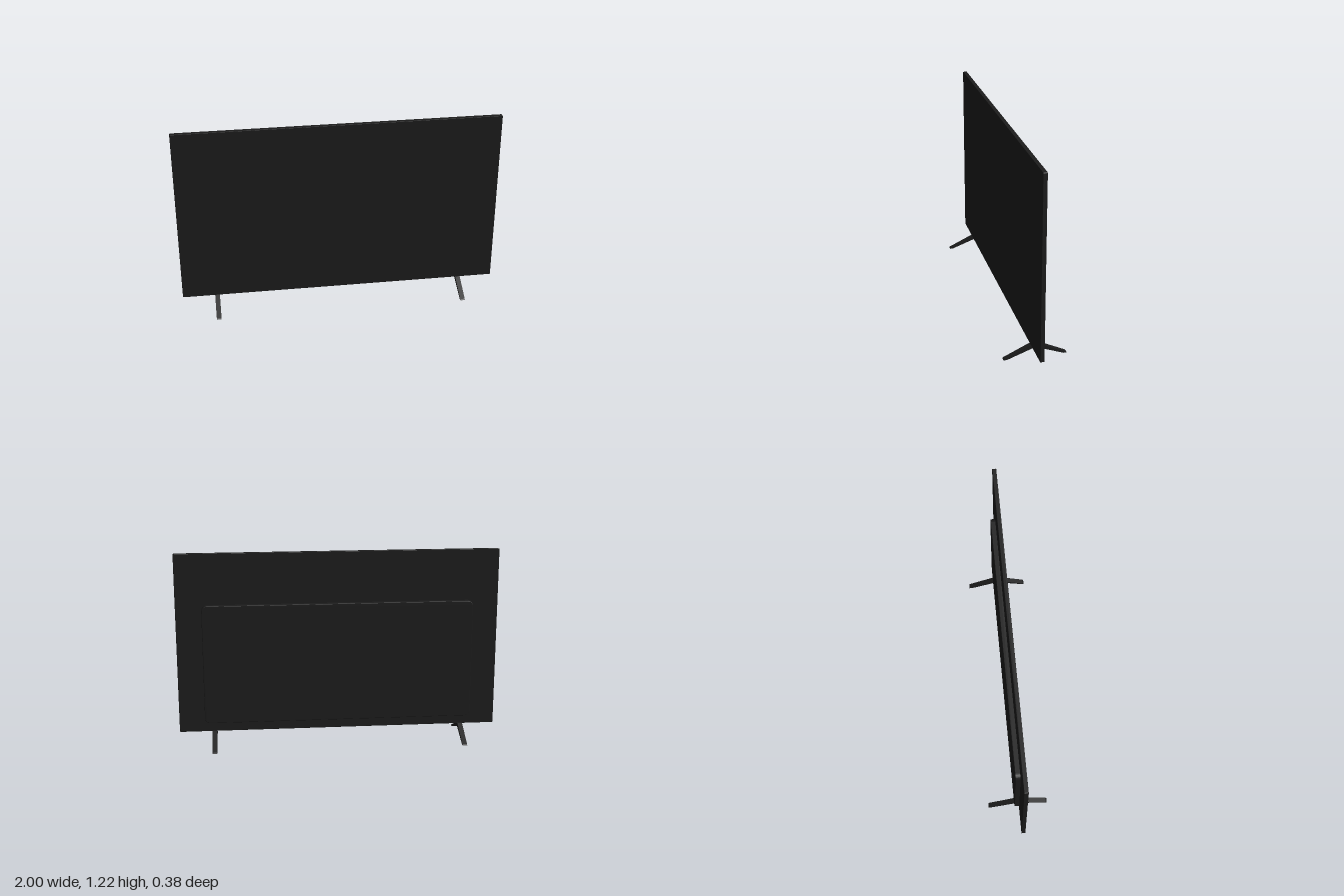
import * as THREE from 'three';

// Rounded rectangle centred on the origin
function roundedRect(w, h, r) {
  const s = new THREE.Shape();
  const x = w / 2, y = h / 2;
  s.moveTo(-x + r, -y);
  s.lineTo(x - r, -y);
  s.absarc(x - r, -y + r, r, -Math.PI / 2, 0);
  s.lineTo(x, y - r);
  s.absarc(x - r, y - r, r, 0, Math.PI / 2);
  s.lineTo(-x + r, y);
  s.absarc(-x + r, y - r, r, Math.PI / 2, Math.PI);
  s.lineTo(-x, -y + r);
  s.absarc(-x + r, -y + r, r, Math.PI, Math.PI * 1.5);
  return s;
}

// Thin slab with softened edges, spanning y0..y1 and z0..z1
function slab(name, material, w, y0, y1, z0, z1, r, bevel) {
  const geo = new THREE.ExtrudeGeometry(roundedRect(w - 2 * bevel, y1 - y0 - 2 * bevel, r), {
    depth: z1 - z0 - 2 * bevel, bevelEnabled: true, bevelThickness: bevel,
    bevelSize: bevel, bevelSegments: 2, curveSegments: 6,
  });
  const mesh = new THREE.Mesh(geo, material);
  mesh.name = name;
  mesh.position.set(0, (y0 + y1) / 2, z0 + bevel);
  return mesh;
}

export function createModel() {
  const group = new THREE.Group();
  group.name = 'television';
  const black = new THREE.MeshStandardMaterial({ color: 0x1c1c1c });
  black.name = 'matte black';

  // Display panel and raised rear housing
  group.add(slab('displayPanel', black, 2, 0.08, 1.215, 0.004, 0.029, 0.004, 0.002));
  group.add(slab('rearHousing', black, 1.68, 0.142, 0.895, -0.026, 0.008, 0.03, 0.003));

  // Splayed feet: inverted V in side profile, tapering to flat tips
  const profile = new THREE.Shape([
    [0.19, 0], [0.17, 0], [0, 0.063], [-0.17, 0], [-0.19, 0],
    [-0.182, 0.006], [-0.012, 0.086], [0.012, 0.086], [0.182, 0.006],
  ].reverse().map(([z, y]) => new THREE.Vector2(z, y)));
  const width = 0.03;
  const footGeo = new THREE.ExtrudeGeometry(profile, { depth: width, bevelEnabled: false });
  footGeo.translate(0, 0, -width / 2);
  footGeo.rotateY(-Math.PI / 2);
  for (const side of [-1, 1]) {
    const foot = new THREE.Mesh(footGeo, black);
    foot.name = side > 0 ? 'leftFoot' : 'rightFoot';
    foot.position.x = side * 0.782;
    group.add(foot);
  }
  return group;
}
